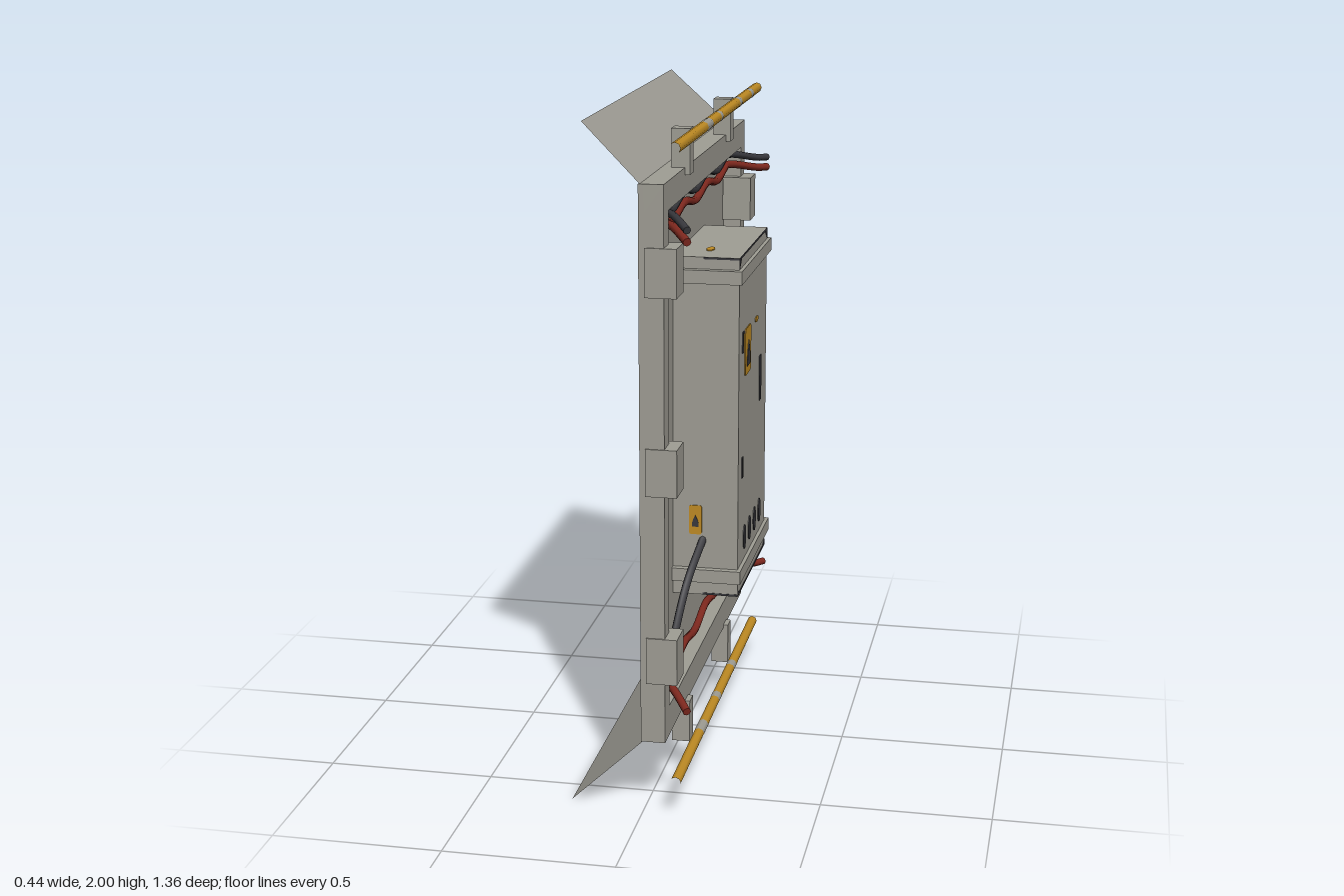
import * as THREE from 'three';

const mat = (name, color) => Object.assign(new THREE.MeshStandardMaterial({ color }), { name });

export function createModel() {
  const root = new THREE.Group();
  root.name = 'wallMountedElectricalCabinet';
  const grey = mat('weathered grey', 0xa09e95);
  const gold = mat('yellow paint', 0xc08c24);
  const red = mat('red cable', 0x80291f);
  const dark = mat('dark rubber', 0x38383d);
  const flapGrey = mat('flap grey', 0xa09e96);
  flapGrey.side = THREE.DoubleSide;

  const add = (name, geo, material, parent = root) => {
    const m = new THREE.Mesh(geo, material);
    m.name = name;
    parent.add(m);
    return m;
  };
  // Box given by its limits on each axis
  const block = (name, [x0, x1], [y0, y1], [z0, z1], material = grey) => {
    const m = add(name, new THREE.BoxGeometry(x1 - x0, y1 - y0, z1 - z0), material);
    m.position.set((x0 + x1) / 2, (y0 + y1) / 2, (z0 + z1) / 2);
    return m;
  };

  // Backing panel and raised border
  const B = -0.005, F = 0.066;
  block('backPanel', [B, 0.01], [0.22, 1.84], [-0.643, 0.643]);
  block('topRail', [0.01, F], [1.76, 1.84], [-0.643, 0.643]);
  block('bottomRail', [0.01, F], [0.22, 0.31], [-0.643, 0.643]);
  for (const s of [-1, 1]) {
    const span = (a, b) => [Math.min(s * a, s * b), Math.max(s * a, s * b)];
    block('sideRail', [0.01, F], [0.31, 1.76], span(0.58, 0.643));
    for (const y of [0.47, 1.03, 1.597]) {
      block('edgeClamp', [0.012, 0.102], [y - 0.069, y + 0.069], span(0.552, 0.647));
    }
    // Pole brackets
    block('upperBracket', [0.027, 0.081], [1.82, 1.95], span(0.3, 0.35));
    block('lowerBracket', [0.027, 0.081], [0.1, 0.23], span(0.3, 0.35));
  }

  // Thin tapered flaps leaning backwards
  const flap = (name, y0, x1, y1, z1) => {
    const g = new THREE.BufferGeometry();
    g.setAttribute('position', new THREE.Float32BufferAttribute(
      [0, y0, 0.643, 0, y0, -0.643, x1, y1, -z1, x1, y1, z1], 3));
    g.setIndex([0, 1, 2, 0, 2, 3]);
    g.computeVertexNormals();
    add(name, g, flapGrey);
  };
  flap('topFlap', 1.84, -0.168, 2, 0.61);
  flap('bottomFlap', 0.22, -0.222, 0, 0.6);

  // Yellow poles with bare patches
  const pole = (name, y, patches) => {
    const tube = (n, r, z0, z1, m) => {
      const p = add(n, new THREE.CylinderGeometry(r, r, z1 - z0, 8, 1, true), m);
      p.rotation.x = Math.PI / 2;
      p.position.set(0.101, y, (z0 + z1) / 2);
    };
    tube(name, 0.016, -0.667, 0.667, gold);
    for (const [a, b] of patches) tube('barePatch', 0.0166, a, b, grey);
  };
  pole('upperPole', 1.942, [[0.18, 0.26], [-0.31, -0.27], [0.02, 0.05], [-0.52, -0.48]]);
  pole('lowerPole', 0.111, [[0.24, 0.31], [0.01, 0.05], [-0.26, -0.22]]);

  // Wavy cables running across, splayed outward at both ends
  const cable = (name, y, drop, material, r) => {
    const pts = [];
    for (let i = 0; i <= 36; i++) {
      const z = 0.672 - (i / 36) * 1.344;
      const out = Math.max(0, (Math.abs(z) - 0.5) / 0.172);
      pts.push(new THREE.Vector3(0.036 + 0.1 * out,
        y + 0.011 * Math.cos((z - 0.56) * Math.PI * 2 / 0.35) - drop * out, z));
    }
    const path = new THREE.CatmullRomCurve3(pts);
    add(name, new THREE.TubeGeometry(path, 72, r, 8), material);
    for (const e of [0, 1]) {
      const cap = add('cableEnd', new THREE.CircleGeometry(r, 8), material);
      const p = path.getPoint(e);
      cap.position.copy(p);
      cap.lookAt(p.clone().addScaledVector(path.getTangent(e), e ? 1 : -1));
    }
  };
  cable('blackCable', 1.738, 0.01, dark, 0.011);
  cable('upperRedCable', 1.706, 0.01, red, 0.012);
  cable('lowerRedCable', 0.35, 0.01, red, 0.012);

  // Supply cable from the cabinet side
  const supply = new THREE.CatmullRomCurve3([[0.1, 0.71, 0.24], [0.075, 0.61, 0.365],
    [0.05, 0.45, 0.455], [0.036, 0.35, 0.48]].map(p => new THREE.Vector3(...p)));
  add('supplyCable', new THREE.TubeGeometry(supply, 16, 0.012, 8), dark);

  // Cabinet and its straps, which also show on the back of the panel
  const D = 0.206, W = 0.247;
  block('cabinet', [0.008, D], [0.535, 1.566], [-W, W]);
  for (const y of [0.6, 1.511]) block('strap', [-0.014, 0.217], [y - 0.02, y + 0.02], [-0.268, 0.268]);

  // Worn dark edging on the cabinet's top and bottom
  const T = 0.0015;
  for (const [y, lo, hi] of [[1.566, 1.56, 1.566], [0.535, 0.535, 0.541]]) {
    block('wornEdge', [D, D + T], [lo, hi], [-W, W], dark);
    const inner = y > 1 ? y - 0.033 : y + 0.02;
    for (const s of [-1, 1]) {
      block('wornSideEdge', [0.1, D], [lo, hi], s > 0 ? [W, W + T] : [-W - T, -W], dark);
      const tri = new THREE.Shape([[s * W, y], [s * W, inner], [s * 0.205, y]]
        .map(p => new THREE.Vector2(...p)));
      const m = add('wornCorner', new THREE.ExtrudeGeometry(tri, { depth: T, bevelEnabled: false }), dark);
      m.rotation.y = Math.PI / 2;
      m.position.x = D;
    }
  }

  // Painted door details: shapes drawn around their own centre
  const plate = (name, shape, material, y, z, lift = 0.003) => {
    const m = add(name, new THREE.ExtrudeGeometry(shape, { depth: lift, bevelEnabled: false, curveSegments: 10 }), material);
    m.rotation.y = Math.PI / 2;
    m.position.set(D, y, z);
    return m;
  };
  const oval = (a, b) => new THREE.Shape().absellipse(0, 0, a, b, 0, Math.PI * 2);
  const rounded = (w, h, r) => new THREE.Shape()
    .absarc(w / 2 - r, h / 2 - r, r, 0, Math.PI / 2)
    .absarc(r - w / 2, h / 2 - r, r, Math.PI / 2, Math.PI)
    .absarc(r - w / 2, r - h / 2, r, Math.PI, Math.PI * 1.5)
    .absarc(w / 2 - r, r - h / 2, r, Math.PI * 1.5, Math.PI * 2);
  const drop = (w, h) => new THREE.Shape().moveTo(0, h / 2)
    .bezierCurveTo(w * 0.3, h * 0.2, w * 0.6, -h * 0.1, w / 2, -h * 0.4)
    .lineTo(-w / 2, -h * 0.4)
    .bezierCurveTo(-w * 0.6, -h * 0.1, -w * 0.3, h * 0.2, 0, h / 2);

  plate('warningSign', rounded(0.1, 0.142, 0.014), gold, 1.262, 0.1);
  plate('warningMark', drop(0.048, 0.085), dark, 1.25, 0.098, 0.005);
  plate('smallBadge', oval(0.026, 0.009), gold, 1.32, -0.057);
  for (const y of [1.303, 0.92]) plate('hinge', rounded(0.02, 0.064, 0.002), dark, y, 0.182);
  plate('handle', rounded(0.026, 0.142, 0.002), dark, 1.118, -0.133);
  for (const z of [-1.5, -0.5, 0.5, 1.5]) plate('ventHole', oval(0.021, 0.038), dark, 0.688, z * 0.09);

  // Labels on the cabinet's sides, top and underside
  for (const s of [-1, 1]) {
    const label = plate('sideLabel', rounded(0.038, 0.09, 0.006), gold, 0.77, s * W);
    const mark = plate('sideLabelMark', drop(0.02, 0.04), dark, 0.765, s * W, 0.005);
    for (const m of [label, mark]) {
      m.rotation.y = s > 0 ? 0 : Math.PI;
      m.position.x = 0.078;
    }
    const badge = plate('endBadge', oval(0.012, 0.026), gold, s > 0 ? 1.566 : 0.535, 0.13);
    badge.rotation.set(-s * Math.PI / 2, 0, 0);
    badge.position.x = 0.1;
  }
  return root;
}
